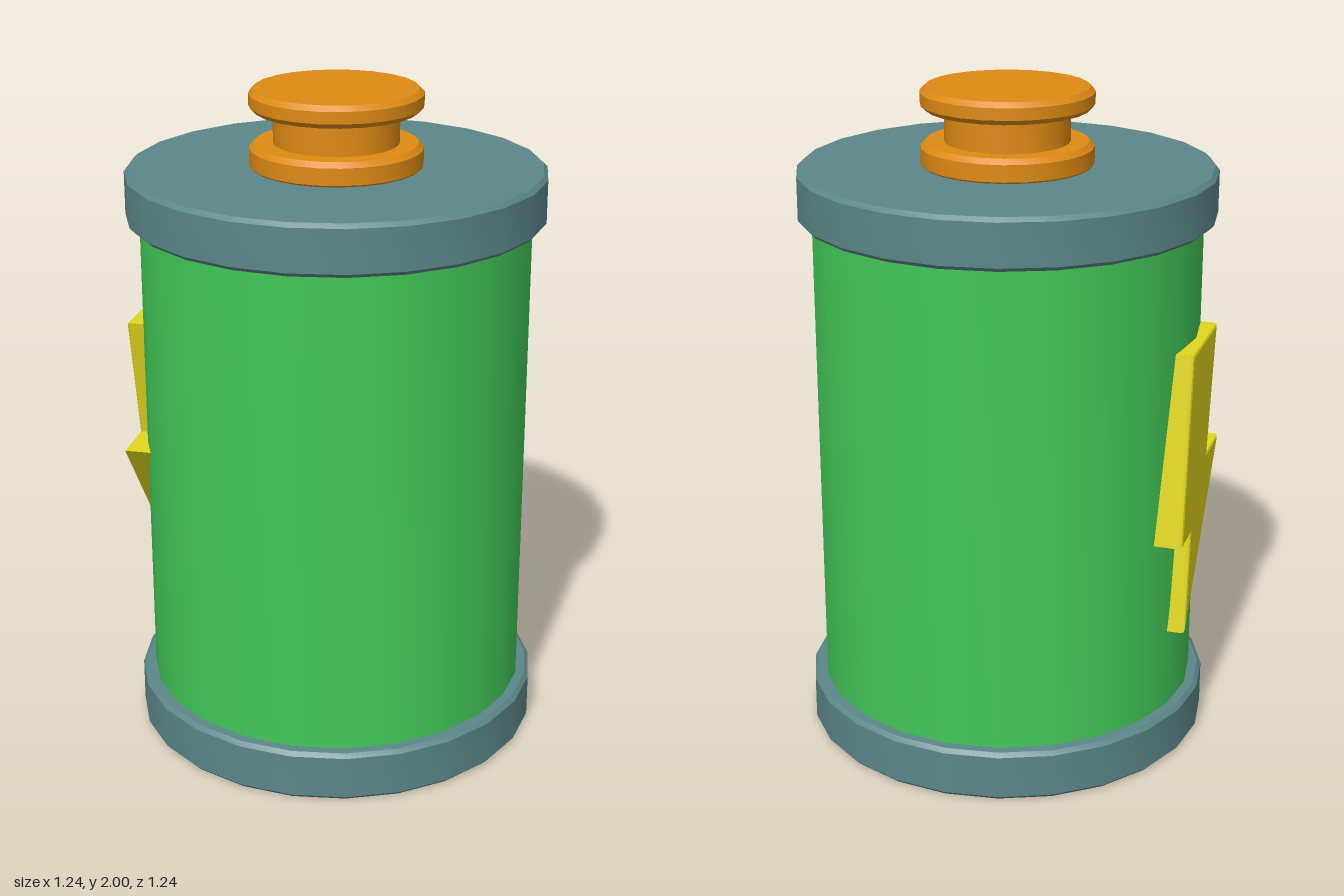
import * as THREE from 'three';
import { toCreasedNormals } from 'three/addons/utils/BufferGeometryUtils.js';

const SIDES = 24;

const paint = (color) => new THREE.MeshStandardMaterial({ color });

// Turned part from [radius, y] points listed bottom to top
function turned(name, profile, material) {
  const points = profile.map(([r, y]) => new THREE.Vector2(r, y));
  const geometry = toCreasedNormals(new THREE.LatheGeometry(points, SIDES), 0.5);
  const mesh = new THREE.Mesh(geometry, material);
  mesh.name = name;
  return mesh;
}

// Closed disc profile with bevelled rims
function disc(radius, y0, y1, bevel) {
  return [
    [0, y0], [radius - bevel, y0], [radius, y0 + bevel],
    [radius, y1 - bevel], [radius - bevel, y1], [0, y1],
  ];
}

export function createModel() {
  const group = new THREE.Group();
  const green = paint(0x42c858);
  const steel = paint(0x5c8789);
  const orange = paint(0xde8a13);
  const yellow = paint(0xe2d81e);

  // Cylinder body between two end caps
  group.add(turned('body', [[0, 0.1], [0.58, 0.1], [0.58, 1.68], [0, 1.68]], green));
  group.add(turned('bottomCap', disc(0.62, 0, 0.155, 0.012), steel));
  group.add(turned('topCap', disc(0.62, 1.62, 1.77, 0.012), steel));

  // Terminal: base flange, neck and head
  group.add(turned('terminalBase', disc(0.255, 1.76, 1.84, 0.015), orange));
  group.add(turned('terminalNeck', [[0.185, 1.82], [0.185, 1.95]], orange));
  group.add(turned('terminalHead', disc(0.255, 1.935, 2, 0.015), orange));

  // Lightning bolt on the right side, drawn in (z, y) and extruded outwards
  const outline = [
    [-0.16, 1.29], [-0.235, 0.715], [-0.12, 0.715], [-0.16, 0.405],
    [0.235, 0.905], [0.075, 0.905], [0.16, 1.29],
  ];
  const bevel = 0.01;
  const shape = new THREE.Shape(outline.map(([z, y]) => new THREE.Vector2(z, y)));
  const boltGeometry = new THREE.ExtrudeGeometry(shape, {
    depth: 0.09, bevelThickness: bevel, bevelSize: bevel, bevelOffset: -bevel, bevelSegments: 2,
  });
  boltGeometry.rotateY(-Math.PI / 2).translate(-0.51, 0, 0);
  const bolt = new THREE.Mesh(boltGeometry, yellow);
  bolt.name = 'lightningBolt';
  group.add(bolt);

  return group;
}
